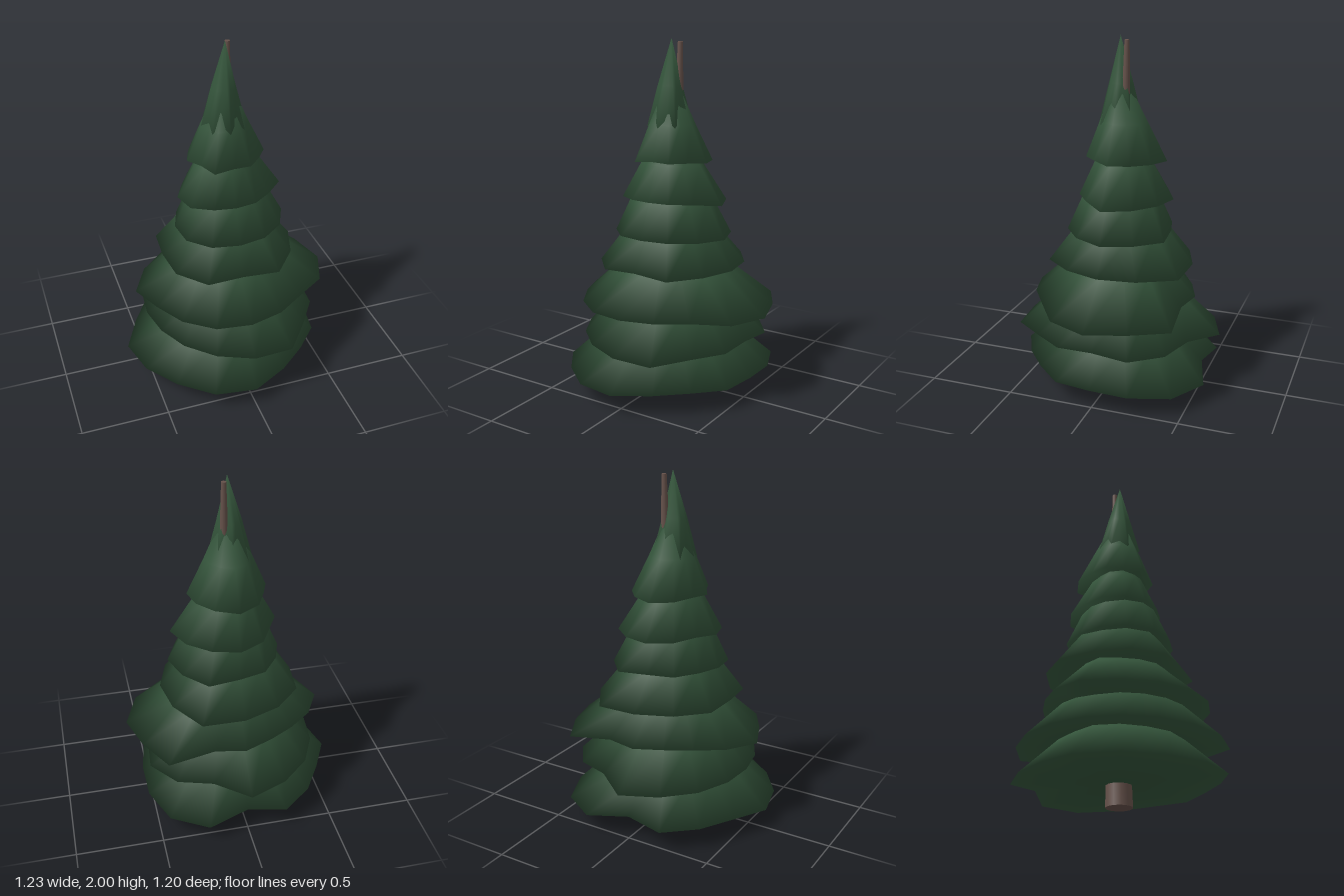
import * as THREE from 'three';

const green = new THREE.MeshStandardMaterial({ color: 0x33533a });
green.name = 'needle green';
const brown = new THREE.MeshStandardMaterial({ color: 0x65514a });
brown.name = 'bark brown';

// Rim height, mid-ring radius share and irregular rim radii at even angles,
// from the tree's left round to its front
const TIERS = [
  { y: 0.12, share: 0.63, rim: [0.54, 0.55, 0.52, 0.54, 0.6, 0.61, 0.59, 0.6, 0.61, 0.55, 0.56, 0.58, 0.5, 0.62, 0.63, 0.58] },
  { y: 0.33, share: 0.63, rim: [0.5, 0.53, 0.53, 0.6, 0.57, 0.53, 0.5, 0.48, 0.48, 0.5, 0.53, 0.56, 0.6, 0.5, 0.55, 0.56] },
  { y: 0.52, share: 0.57, rim: [0.62, 0.58, 0.5, 0.5, 0.51, 0.52, 0.51, 0.5, 0.54, 0.48, 0.43, 0.42, 0.45, 0.45, 0.62, 0.6] },
  { y: 0.735, share: 0.62, rim: [0.41, 0.4, 0.42, 0.36, 0.41, 0.4, 0.37, 0.41, 0.41, 0.43, 0.48, 0.43] },
  { y: 0.915, share: 0.7, rim: [0.36, 0.33, 0.31, 0.3, 0.31, 0.31, 0.29, 0.28, 0.3, 0.3, 0.36, 0.35] },
  { y: 1.11, share: 0.6, rim: [0.34, 0.26, 0.24, 0.23, 0.24, 0.27, 0.27, 0.24, 0.28, 0.31, 0.31, 0.32] },
  { y: 1.33, share: 0.6, rim: [0.24, 0.2, 0.2, 0.18, 0.22, 0.18, 0.21, 0.2, 0.24, 0.27, 0.25, 0.24] },
];

// One wavy cone of branches, closed below, with soft rounded shading at its
// rim; short branches lift higher than long ones
function makeTier({ y, share, rim, tip = 0.5, lift = 0.2 }, level) {
  const n = rim.length;
  const mean = rim.reduce((a, b) => a + b) / n;
  const ring = (radius, height) => rim.map((r, k) => {
    const a = (k / n) * Math.PI * 2;
    return [Math.cos(a) * radius(r), height(r), Math.sin(a) * radius(r)];
  });
  const points = [
    ...ring((r) => r, (r) => y + (mean - r) * lift),
    ...ring((r) => (r * 0.8 + mean * 0.2) * share, () => y + 0.2),
    [0.01, y + tip, 0],
    [0.01, y, 0],
  ];
  const faces = [];
  for (let k = 0; k < n; k++) {
    const j = (k + 1) % n;
    faces.push(k, n + k, j, j, n + k, n + j); // lower slope
    faces.push(n + k, 2 * n, n + j); // upper slope
    faces.push(2 * n + 1, k, j); // underside
  }
  const geometry = new THREE.BufferGeometry();
  geometry.setAttribute('position', new THREE.Float32BufferAttribute(points.flat(), 3));
  geometry.setIndex(faces);
  geometry.computeVertexNormals();
  const tier = new THREE.Mesh(geometry, green);
  tier.name = `branchTier${level + 1}`;
  return tier;
}

export function createModel() {
  const tree = new THREE.Group();
  tree.name = 'firTree';

  // Tapered trunk, leaning slightly so its tip shows beside the top
  const geometry = new THREE.CylinderGeometry(0.014, 0.075, 1.98, 12);
  geometry.translate(0, 0.99, 0);
  geometry.applyMatrix4(new THREE.Matrix4().set(
    1, 0.007, 0, 0.024,
    0, 1, 0, 0,
    0, -0.018, 1, -0.01,
    0, 0, 0, 1,
  ));
  const trunk = new THREE.Mesh(geometry, brown);
  trunk.name = 'trunk';
  tree.add(trunk);

  TIERS.forEach((tier, level) => tree.add(makeTier(tier, level)));

  // Treetop with a toothed rim
  const teeth = Array.from({ length: 16 }, (_, k) => (k % 2 ? 0.1 : 0.13));
  tree.add(makeTier({ y: 1.54, share: 0.56, rim: teeth, tip: 0.46, lift: 1.5 }, TIERS.length));
  return tree;
}
